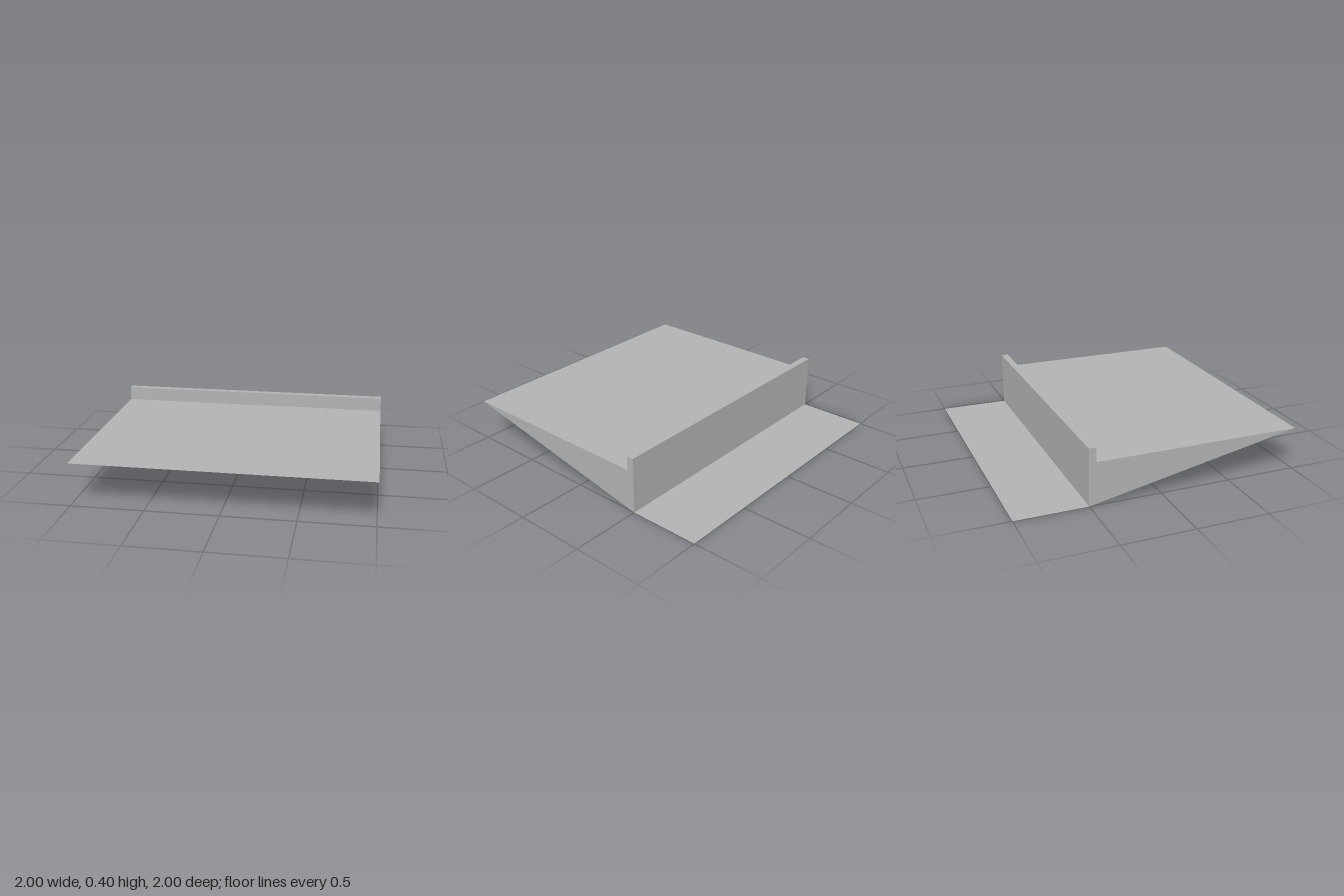
import * as THREE from 'three';

const HALF_WIDTH = 1;

// Flat sheet spanning the full width between two [z, y] profile points
function sheet(name, [z0, y0], [z1, y1], material) {
  const geometry = new THREE.BufferGeometry();
  const w = HALF_WIDTH;
  geometry.setAttribute('position', new THREE.Float32BufferAttribute(
    [-w, y0, z0, w, y0, z0, w, y1, z1, -w, y1, z1], 3));
  geometry.setIndex([0, 1, 2, 0, 2, 3]);
  geometry.computeVertexNormals();
  const mesh = new THREE.Mesh(geometry, material);
  mesh.name = name;
  return mesh;
}

// Upright side panel cut to the wedge outline, facing outward
function sidePanel(name, side, outline, material) {
  const shape = new THREE.Shape(outline.map(([z, y]) => new THREE.Vector2(-side * z, y)));
  const geometry = new THREE.ShapeGeometry(shape);
  geometry.rotateY(side * Math.PI / 2);
  geometry.translate(side * HALF_WIDTH, 0, 0);
  const mesh = new THREE.Mesh(geometry, material);
  mesh.name = name;
  return mesh;
}

export function createModel() {
  const model = new THREE.Group();
  model.name = 'wedgeTray';
  const grey = new THREE.MeshStandardMaterial({ color: 0xb2b2b2, side: THREE.DoubleSide });
  grey.name = 'plain grey';

  // Folded sheet from the front tip, over the lip, down to the rear flange
  const profile = [[1, 0.3], [-0.45, 0.3], [-0.45, 0.4], [-0.5, 0.4], [-0.5, 0], [-1, 0]];
  const names = ['deck', 'lipFront', 'lipTop', 'backWall', 'rearFlange'];
  names.forEach((name, i) => model.add(sheet(name, profile[i], profile[i + 1], grey)));

  // Side panels close the ends; the sloping underside stays open
  const outline = profile.slice(0, 5);
  model.add(sidePanel('leftPanel', 1, outline, grey));
  model.add(sidePanel('rightPanel', -1, outline, grey));

  return model;
}
